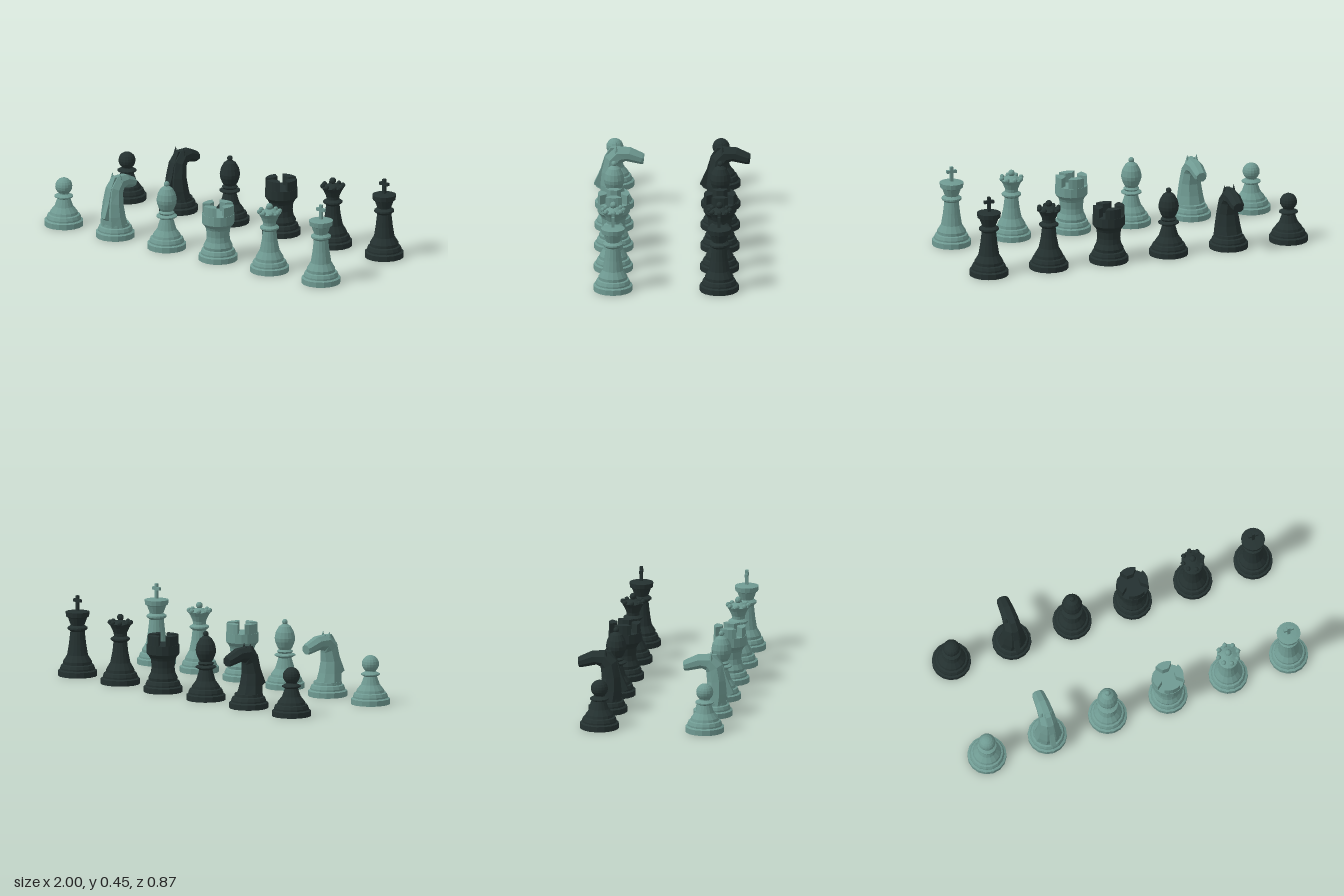
import * as THREE from 'three';

const SIDES = 16;
const BASE = [[0, 0], [0.109, 0], [0.109, 0.03], [0.097, 0.036], [0.097, 0.045], [0.09, 0.062], [0.08, 0.066]];

// Turned body: shared foot followed by the piece's own profile
function turned(profile, withBase = true) {
  const pts = (withBase ? BASE.concat(profile) : profile).map(([r, y]) => new THREE.Vector2(r, y));
  return new THREE.LatheGeometry(pts, SIDES);
}

function ball(r, x, y, z, w = 10, h = 8) {
  return new THREE.SphereGeometry(r, w, h).translate(x, y, z);
}

// Sweep of octagons; each section is [z, y, halfWidth, halfDepth, tilt]
function sweep(sections, n = 8) {
  const pos = [], index = [], k = 1 / Math.cos(Math.PI / n);
  for (const [z, y, hw, hd, t] of sections) {
    for (let i = 0; i < n; i++) {
      const a = (i + 0.5) / n * Math.PI * 2, d = hd * k * Math.sin(a);
      pos.push(hw * k * Math.cos(a), y + d * Math.sin(t), z + d * Math.cos(t));
    }
  }
  const last = (sections.length - 1) * n;
  for (let s = 0; s < last; s += n) {
    for (let i = 0; i < n; i++) {
      const j = (i + 1) % n;
      index.push(s + i, s + n + i, s + j, s + j, s + n + i, s + n + j);
    }
  }
  for (let i = 1; i < n - 1; i++) {
    index.push(0, i, i + 1, last, last + i + 1, last + i);
  }
  const g = new THREE.BufferGeometry();
  g.setAttribute('position', new THREE.Float32BufferAttribute(pos, 3));
  g.setIndex(index);
  g.computeVertexNormals();
  return g;
}

// One rook battlement, a wedge between two diagonal slots
function battlement() {
  const s = new THREE.Shape();
  const a = 0.55, b = 0.42, R = 0.088, r = 0.045;
  s.moveTo(r * Math.cos(b), -r * Math.sin(b));
  for (let i = 0; i <= 4; i++) {
    const t = -a + i * a / 2;
    s.lineTo(R * Math.cos(t), R * Math.sin(t));
  }
  s.lineTo(r * Math.cos(b), r * Math.sin(b));
  s.closePath();
  return new THREE.ExtrudeGeometry(s, { depth: 0.06, bevelEnabled: false })
    .rotateX(-Math.PI / 2).translate(0, 0.26, 0);
}

const PIECES = {
  pawn(add) {
    add('body', turned([[0.076, 0.08], [0.052, 0.11], [0.036, 0.155], [0.053, 0.164], [0.053, 0.17], [0.03, 0.182], [0.03, 0.2], [0, 0.2]]));
    add('head', ball(0.048, 0, 0.225, 0, SIDES, 10));
  },
  knight(add) {
    add('base', turned([[0.078, 0.082], [0, 0.082]]));
    add('neckAndHead', sweep([
      [0.008, 0.07, 0.076, 0.066, 0], [0.018, 0.13, 0.066, 0.06, 0], [0.02, 0.2, 0.056, 0.051, 0.1],
      [0.008, 0.27, 0.047, 0.05, 0.5], [-0.022, 0.302, 0.043, 0.047, 1.2],
      [-0.075, 0.304, 0.039, 0.038, 1.95], [-0.15, 0.279, 0.034, 0.029, 1.85], [-0.163, 0.276, 0.028, 0.026, 1.7],
    ]));
    // Mane strip down the back
    const s = new THREE.Shape();
    [[0.115, 0.13], [0.077, 0.215], [0.055, 0.29], [0.02, 0.345], [-0.03, 0.345], [0.02, 0.25], [0.05, 0.18], [0.072, 0.105]]
      .forEach(([z, y], i) => (i ? s.lineTo(-z, y) : s.moveTo(-z, y)));
    s.closePath();
    add('mane', new THREE.ExtrudeGeometry(s, { depth: 0.026, bevelEnabled: false })
      .translate(0, 0, -0.013).rotateY(Math.PI / 2));
    // Ears
    for (const x of [-1, 1]) {
      add('ear', new THREE.ConeGeometry(0.016, 0.055, 5).translate(x * 0.027, 0.338, -0.01));
    }
  },
  bishop(add) {
    add('body', turned([[0.076, 0.08], [0.054, 0.11], [0.036, 0.17], [0.058, 0.182], [0.058, 0.188], [0.038, 0.196],
      [0.045, 0.206], [0.034, 0.216], [0.044, 0.232], [0.055, 0.262], [0.057, 0.282], [0.05, 0.315], [0.033, 0.345], [0.012, 0.36], [0, 0.36]]));
    add('finial', ball(0.016, 0, 0.37, 0));
  },
  rook(add) {
    add('body', turned([[0.082, 0.082], [0.068, 0.11], [0.064, 0.14], [0.068, 0.18], [0.075, 0.195], [0.091, 0.215], [0.091, 0.267], [0, 0.267]]));
    for (let i = 0; i < 4; i++) add('battlement', battlement().rotateY(i * Math.PI / 2));
  },
  queen(add) {
    add('body', turned([[0.078, 0.082], [0.056, 0.12], [0.044, 0.18], [0.038, 0.235], [0.054, 0.248], [0.054, 0.256], [0.036, 0.268],
      [0.037, 0.285], [0.05, 0.315], [0.064, 0.338], [0.05, 0.342], [0.025, 0.355], [0, 0.36]]));
    for (let i = 0; i < 8; i++) {
      const a = i * Math.PI / 4;
      add('crownBead', ball(0.014, 0.057 * Math.cos(a), 0.345, 0.057 * Math.sin(a), 8, 6));
    }
    add('finial', ball(0.019, 0, 0.373, 0));
  },
  king(add) {
    add('body', turned([[0.08, 0.082], [0.058, 0.118], [0.048, 0.18], [0.04, 0.25], [0.056, 0.263], [0.056, 0.272], [0.038, 0.284],
      [0.042, 0.295], [0.054, 0.328], [0.064, 0.333], [0.067, 0.36], [0.045, 0.364], [0, 0.368]]));
    add('crossUpright', new THREE.BoxGeometry(0.017, 0.09, 0.017).translate(0, 0.405, 0));
    add('crossArms', new THREE.BoxGeometry(0.058, 0.017, 0.0165).translate(0, 0.422, 0));
  },
};

export function createModel() {
  const model = new THREE.Group();
  model.name = 'chessPieces';
  const paint = (name, color) => {
    const m = new THREE.MeshStandardMaterial({ color, flatShading: true });
    m.name = name;
    return m;
  };
  // Two rows of six pieces
  const rows = [
    ['light', paint('paleTeal', 0x6f9a92), 0.32],
    ['dark', paint('blackGreen', 0x243130), -0.27],
  ];
  for (const [tone, material, z] of rows) {
    Object.entries(PIECES).forEach(([name, build], i) => {
      const piece = new THREE.Group();
      piece.name = `${tone} ${name}`;
      piece.position.set(-0.8885 + i * 0.3554, 0, z);
      build((part, geometry) => {
        const mesh = new THREE.Mesh(geometry, material);
        mesh.name = part;
        piece.add(mesh);
      });
      model.add(piece);
    });
  }
  return model;
}
